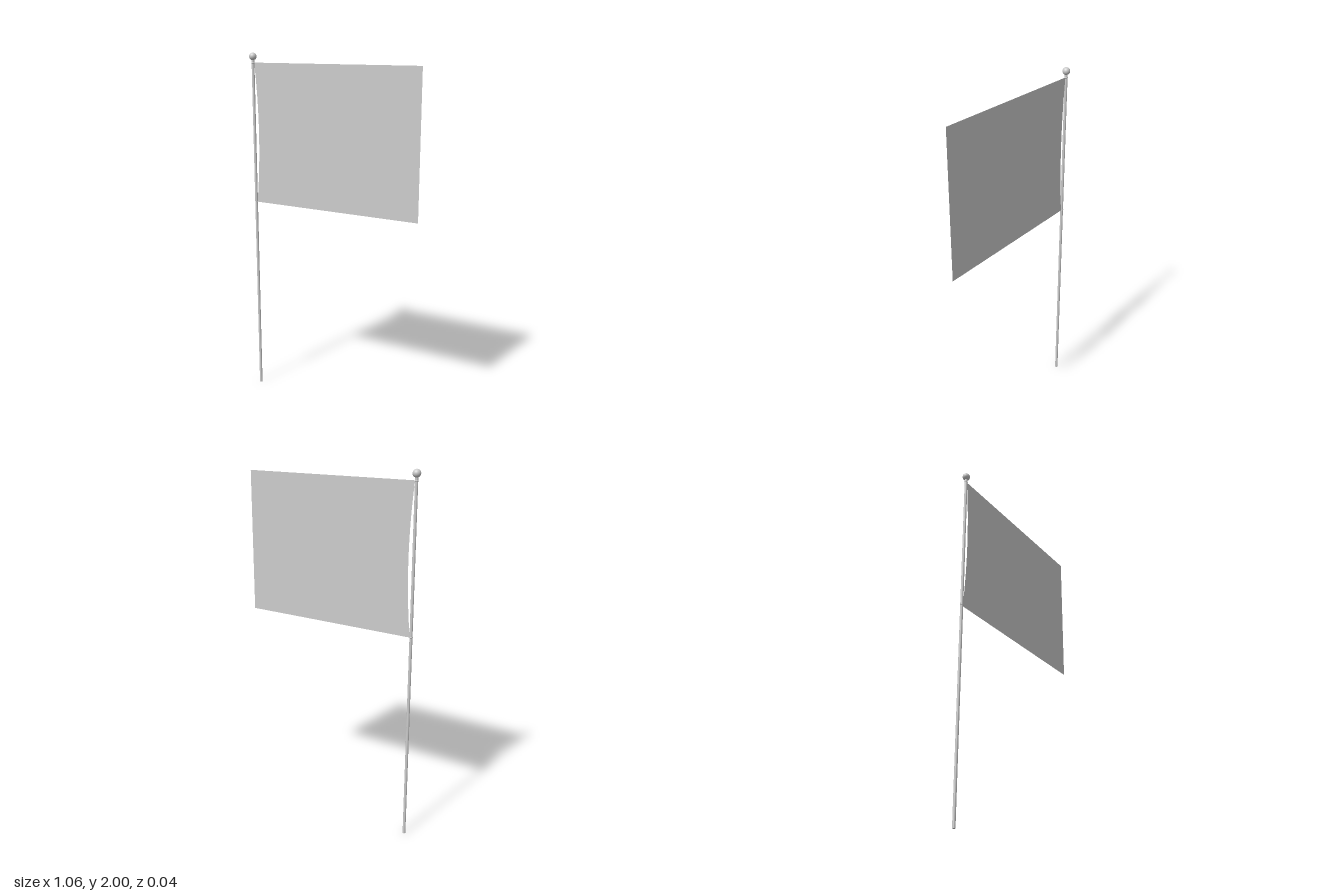
import * as THREE from 'three';

const POLE_X = -0.51, POLE_R = 0.008;
const FLAG_TOP = 1.945, FLAG_BOTTOM = 1.15, FLAG_LEFT = -0.502, FLAG_RIGHT = 0.53;

export function createModel() {
  const group = new THREE.Group();
  const metal = new THREE.MeshStandardMaterial({ color: 0xcccccc });
  const cloth = new THREE.MeshStandardMaterial({ color: 0xcccccc, side: THREE.DoubleSide });

  const add = (name, geometry, material, x = 0, y = 0) => {
    const mesh = new THREE.Mesh(geometry, material);
    mesh.name = name;
    mesh.position.set(x, y, 0);
    group.add(mesh);
    return mesh;
  };

  // Pole with a ball on top
  add('pole', new THREE.CylinderGeometry(POLE_R, POLE_R, 1.97, 24), metal, POLE_X, 0.985);
  add('finial', new THREE.SphereGeometry(0.021, 32, 20), metal, POLE_X, 1.979);

  // Flat cloth whose hoist edge bows away from the pole between its two corners
  const outline = new THREE.Shape();
  outline.moveTo(FLAG_LEFT, FLAG_BOTTOM);
  outline.lineTo(FLAG_RIGHT, FLAG_BOTTOM);
  outline.lineTo(FLAG_RIGHT, FLAG_TOP);
  outline.lineTo(FLAG_LEFT, FLAG_TOP);
  outline.quadraticCurveTo(-0.458, (FLAG_TOP + FLAG_BOTTOM) / 2, FLAG_LEFT, FLAG_BOTTOM);
  add('flag', new THREE.ShapeGeometry(outline, 24), cloth);

  // Small ties holding the two corners
  for (const [name, y] of [['upperTie', FLAG_TOP - 0.002], ['lowerTie', FLAG_BOTTOM + 0.002]]) {
    add(name, new THREE.TorusGeometry(POLE_R, 0.002, 8, 24), metal, POLE_X, y).rotation.x = Math.PI / 2;
  }

  return group;
}
